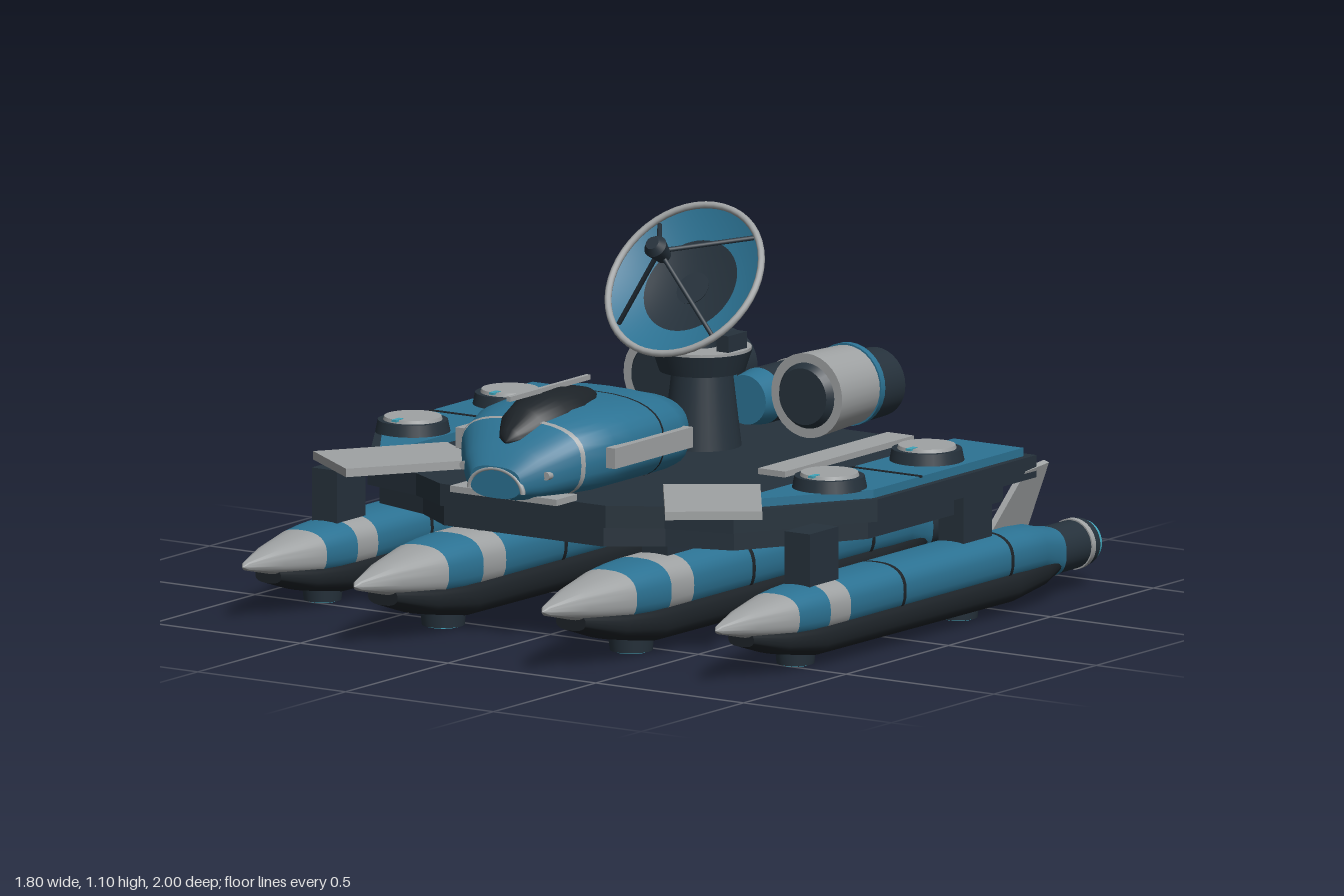
import * as THREE from 'three';
import { toCreasedNormals } from 'three/addons/utils/BufferGeometryUtils.js';

const material = (name, color) => {
  const m = new THREE.MeshStandardMaterial({ color });
  m.name = name;
  return m;
};

export function createModel() {
  const dark = material('dark slate', 0x26323c);
  const black = material('charcoal', 0x1d2328);
  const blue = material('blue', 0x2c7394);
  const grey = material('light grey', 0xa0a3a4);
  const cyan = material('glowing cyan', 0x41a5bb);
  const model = new THREE.Group();

  const add = (parent, name, geo, mat, x = 0, y = 0, z = 0) => {
    const mesh = new THREE.Mesh(geo, mat);
    mesh.name = name;
    mesh.position.set(x, y, z);
    parent.add(mesh);
    return mesh;
  };
  const box = (p, name, mat, w, h, d, x, y, z) =>
    add(p, name, new THREE.BoxGeometry(w, h, d), mat, x, y, z);
  // upright cylinder from y0 to y1
  const post = (p, name, mat, rTop, rBottom, y0, y1, x, z) =>
    add(p, name, new THREE.CylinderGeometry(rTop, rBottom, y1 - y0, 32), mat, x, (y0 + y1) / 2, z);
  // cylinder lying along z, from the front end to the back end
  const barrel = (p, name, mat, rFront, rBack, zf, zb, x, y) =>
    add(p, name, new THREE.CylinderGeometry(rFront, rBack, zf - zb, 32).rotateX(Math.PI / 2), mat, x, y, (zf + zb) / 2);
  // flat plate with an outline of [x, z] points
  const plate = (p, name, mat, pts, y0, y1) => {
    const shape = new THREE.Shape(pts.map(([x, z]) => new THREE.Vector2(x, -z)));
    const geo = new THREE.ExtrudeGeometry(shape, { depth: y1 - y0, bevelEnabled: false });
    return add(p, name, geo.rotateX(-Math.PI / 2), mat, 0, y0, 0);
  };
  const mirrored = half => [...half, ...half.map(([x, z]) => [-x, z]).reverse()];

  // skin over rounded sections [z, centreY, halfWidth, halfHeight], front to back
  const loft = (p, name, mat, stations, n = 2.6, grow = 0) => {
    const N = 32, pos = [], index = [];
    const round = v => Math.sign(v) * Math.abs(v) ** (2 / n);
    stations.forEach(([z, cy, hw, hh], i) => {
      for (let j = 0; j < N; j++) {
        const a = (j / N) * Math.PI * 2;
        pos.push((hw + grow) * round(Math.cos(a)), cy + (hh + grow) * round(Math.sin(a)), z);
        if (i === stations.length - 1) continue;
        const A = i * N + j, B = i * N + (j + 1) % N;
        index.push(A, A + N, B, B, A + N, B + N);
      }
    });
    const geo = new THREE.BufferGeometry();
    geo.setAttribute('position', new THREE.Float32BufferAttribute(pos, 3));
    geo.setIndex(index);
    return add(p, name, toCreasedNormals(geo, 0.6), mat);
  };

  // four pontoons, the outer pair slightly smaller
  for (const side of [-1, 1]) for (const outer of [false, true]) {
    const g = new THREE.Group();
    g.name = outer ? 'outerPontoon' : 'innerPontoon';
    const body = [0.175, 0.113, 0.083];
    loft(g, 'noseCone', grey, [[1, 0.18, 0, 0], [0.98, 0.18, 0.016, 0.014], [0.85, 0.178, 0.06, 0.045], [0.68, 0.175, 0.1, 0.073]]);
    loft(g, 'frontHull', blue, [[0.68, 0.175, 0.1, 0.073], [0.6, 0.175, 0.109, 0.08], [0.53, ...body]]);
    loft(g, 'hullBand', grey, [[0.53, ...body], [0.42, ...body]]);
    loft(g, 'mainHull', blue, [[0.42, ...body], [-0.56, ...body], [-0.66, 0.17, 0.106, 0.08],
      [-0.74, 0.15, 0.09, 0.078], [-0.79, 0.14, 0.083, 0.08], [-0.79, 0.14, 0, 0]]);
    for (const z of [0.13, -0.455])
      loft(g, 'hullSeam', black, [[z + 0.008, ...body], [z - 0.008, ...body]], 2.6, 0.002);
    loft(g, 'keel', black, [[0.86, 0.13, 0, 0], [0.86, 0.13, 0.05, 0.025], [0.72, 0.105, 0.095, 0.045], [0.55, 0.09, 0.117, 0.062],
      [-0.5, 0.088, 0.117, 0.065], [-0.68, 0.1, 0.1, 0.055], [-0.79, 0.12, 0.075, 0.045], [-0.79, 0.12, 0, 0]]);
    barrel(g, 'engine', dark, 0.08, 0.078, -0.77, -0.98, 0, 0.138);
    barrel(g, 'engineRing', grey, 0.083, 0.083, -0.93, -0.95, 0, 0.138);
    barrel(g, 'engineGlow', cyan, 0.07, 0.07, -0.97, -1, 0, 0.138);
    for (const z of [0.565, -0.32]) {
      post(g, 'thrusterRing', dark, 0.065, 0.06, 0.004, 0.05, 0, z);
      post(g, 'thrusterGlow', cyan, 0.048, 0.048, 0, 0.01, 0, z);
    }
    g.position.set(side * (outer ? 0.8 : 0.318), 0, outer ? -0.05 : 0);
    if (outer) g.scale.set(0.87, 0.87, 0.9);
    model.add(g);
    for (const z of [0.38, -0.37])
      box(model, 'strut', dark, 0.085, 0.17, 0.14, side * (outer ? 0.8 : 0.318), 0.285, z);
  }

  // deck
  plate(model, 'deck', dark, mirrored([[0.85, -0.645], [0.85, 0.13], [0.62, 0.5], [0.42, 0.55], [0.28, 0.635]]), 0.355, 0.418);
  plate(model, 'deckUnderside', dark, mirrored([[0.81, -0.54], [0.81, 0.12], [0.6, 0.47], [0.41, 0.53], [0.27, 0.63]]), 0.3, 0.355);

  for (const s of [-1, 1]) {
    // raised side panels with pads
    plate(model, 'sidePanel', blue, [[0.595, -0.61], [0.83, -0.61], [0.83, 0.12], [0.62, 0.44], [0.595, 0.44]].map(([x, z]) => [s * x, z]), 0.418, 0.442);
    box(model, 'panelSeam', black, 0.236, 0.006, 0.014, s * 0.7125, 0.441, -0.11);
    for (const z of [-0.32, 0.155]) {
      post(model, 'padBase', dark, 0.098, 0.105, 0.44, 0.475, s * 0.705, z);
      post(model, 'padTop', grey, 0.08, 0.083, 0.475, 0.485, s * 0.705, z);
      box(model, 'padLight', cyan, 0.016, 0.006, 0.035, s * 0.705, 0.484, z + 0.075);
    }
    box(model, 'deckStrip', grey, 0.09, 0.018, 0.63, s * 0.415, 0.426, -0.295);
    // angled front plates
    box(model, 'anglePlate', grey, 0.27, 0.024, 0.395, s * 0.535, 0.432, 0.48).rotation.y = s * 0.62;
    // tail fins
    const finShape = new THREE.Shape([[0.49, 0], [0.59, 0.18], [0.7, 0.19], [0.68, 0]].map(p => new THREE.Vector2(...p)));
    const fin = add(model, 'tailFin', new THREE.ExtrudeGeometry(finShape, { depth: 0.018, bevelEnabled: false })
      .translate(0, 0, -0.009).rotateY(Math.PI / 2), grey, s * 0.79, 0.21, 0);
    fin.rotation.z = -s * 0.3;
    // large rear engines
    const x = s * 0.25, y = 0.56;
    barrel(model, 'intake', dark, 0.08, 0.1, -0.37, -0.4, x, y);
    barrel(model, 'engineHousing', grey, 0.12, 0.112, -0.39, -0.59, x, y);
    barrel(model, 'engineBlueRing', blue, 0.117, 0.117, -0.585, -0.605, x, y);
    barrel(model, 'engineNozzle', dark, 0.1, 0.098, -0.6, -0.73, x, 0.545);
    barrel(model, 'engineGlow', cyan, 0.088, 0.088, -0.72, -0.738, x, 0.545);
    // cabin side details
    box(model, 'cabinRail', grey, 0.03, 0.058, 0.38, s * 0.255, 0.54, 0.385);
    barrel(model, 'headlight', grey, 0.012, 0.012, 0.725, 0.69, s * 0.14, 0.5);
  }

  // middle rear engine
  barrel(model, 'middleEngineFront', blue, 0.07, 0.08, -0.45, -0.52, 0, 0.51);
  barrel(model, 'middleEngine', dark, 0.08, 0.078, -0.52, -0.73, 0, 0.51);
  barrel(model, 'middleEngineRing', grey, 0.082, 0.082, -0.67, -0.69, 0, 0.51);
  barrel(model, 'middleEngineGlow', cyan, 0.068, 0.068, -0.72, -0.742, 0, 0.51);

  // cabin
  const mid = [0.54, 0.25, 0.12];
  loft(model, 'cabin', blue, [[0.77, 0.475, 0, 0], [0.77, 0.475, 0.085, 0.045], [0.725, 0.495, 0.135, 0.075], [0.64, 0.525, 0.205, 0.105],
    [0.53, 0.537, 0.245, 0.118], [0.45, ...mid], [0.22, ...mid], [0.15, 0.53, 0.225, 0.11], [0.07, 0.52, 0.17, 0.1], [0.07, 0.52, 0, 0]], 2.8);
  loft(model, 'cabinSeam', black, [[0.315, ...mid], [0.307, ...mid]], 2.8, 0.002);
  loft(model, 'cabinTrim', grey, [[0.645, 0.524, 0.202, 0.104], [0.633, 0.526, 0.209, 0.106]], 2.8, 0.003);
  const arch = add(model, 'noseArch', new THREE.TorusGeometry(0.09, 0.008, 8, 24, Math.PI), grey, 0, 0.45, 0.765);
  arch.scale.y = 0.7;
  box(model, 'noseBumper', grey, 0.36, 0.018, 0.1, 0, 0.43, 0.68);
  loft(model, 'canopy', black, [[0.72, 0.58, 0, 0], [0.7, 0.585, 0.035, 0.03], [0.64, 0.595, 0.078, 0.07], [0.55, 0.605, 0.106, 0.09],
    [0.47, 0.615, 0.11, 0.083], [0.38, 0.625, 0.085, 0.062], [0.33, 0.635, 0.05, 0.04], [0.305, 0.64, 0, 0]], 2);
  box(model, 'canopyBlade', grey, 0.014, 0.014, 0.39, 0, 0.7, 0.51);

  // dish pedestal
  const pz = -0.24;
  post(model, 'pedestal', dark, 0.085, 0.11, 0.418, 0.63, 0, pz);
  post(model, 'turntable', dark, 0.14, 0.12, 0.63, 0.69, 0, pz);
  post(model, 'turntableTop', grey, 0.138, 0.138, 0.69, 0.698, 0, pz);
  for (const s of [-1, 1]) box(model, 'mountFoot', dark, 0.04, 0.05, 0.09, s * 0.1, 0.72, pz);
  post(model, 'neck', dark, 0.03, 0.042, 0.69, 0.85, 0, pz);
  const pivot = post(model, 'pivot', grey, 0.03, 0.03, 0.785, 0.915, 0, pz + 0.005);
  pivot.rotation.z = Math.PI / 2;

  // dish, facing forward and up
  const dish = new THREE.Group();
  dish.name = 'dish';
  dish.position.set(0, 0.9, -0.155);
  dish.rotation.x = -0.68;
  model.add(dish);
  const bowl = (name, mat, r0, r1, drop) => {
    const pts = [];
    for (let i = 0; i <= 8; i++) {
      const r = r0 + (r1 - r0) * i / 8;
      pts.push(new THREE.Vector2(r, -0.055 * (1 - (r / 0.245) ** 2) - drop));
    }
    add(dish, name, new THREE.LatheGeometry(pts, 48).rotateX(Math.PI / 2), mat);
  };
  bowl('dishCentre', dark, 0.145, 0, 0);
  bowl('dishRing', blue, 0.24, 0.145, 0);
  bowl('dishBack', dark, 0, 0.243, 0.01);
  add(dish, 'dishRim', new THREE.TorusGeometry(0.238, 0.01, 10, 48), grey);
  barrel(dish, 'dishHub', dark, 0.05, 0.03, -0.05, -0.1, 0, 0);
  barrel(dish, 'feedHorn', dark, 0.034, 0.022, 0.185, 0.13, 0, 0);
  barrel(dish, 'feedTip', dark, 0.02, 0.034, 0.205, 0.185, 0, 0);
  for (const sx of [-1, 1]) for (const sy of [-1, 1]) {
    const rod = new THREE.LineCurve3(new THREE.Vector3(sx * 0.158, sy * 0.158, -0.008), new THREE.Vector3(0, 0, 0.16));
    add(dish, 'feedStrut', new THREE.TubeGeometry(rod, 1, 0.007, 8), dark);
  }
  return model;
}
